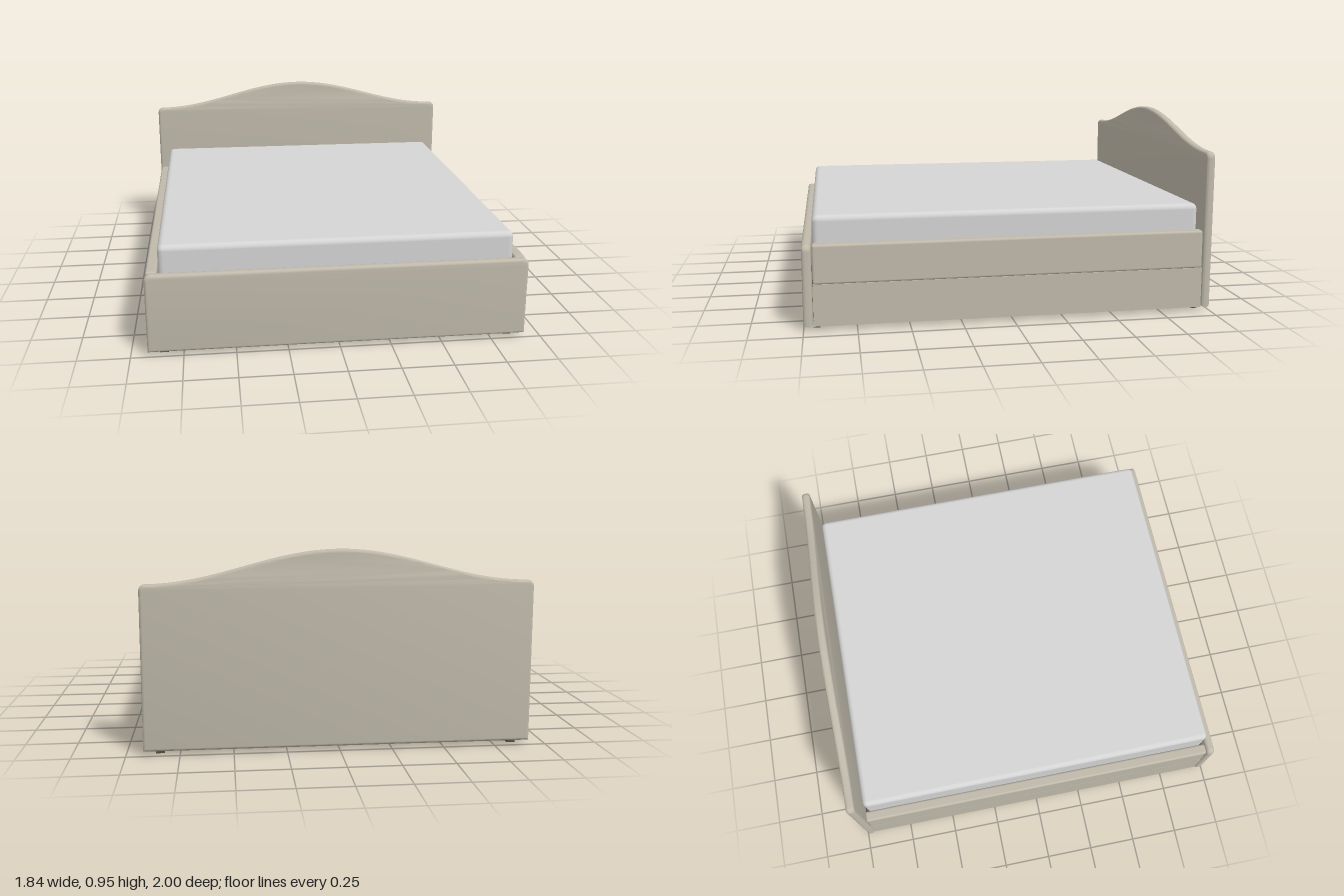
import * as THREE from 'three';
import { RoundedBoxGeometry } from 'three/addons/geometries/RoundedBoxGeometry.js';
import { toCreasedNormals } from 'three/addons/utils/BufferGeometryUtils.js';

const material = (name, color) => Object.assign(new THREE.MeshStandardMaterial({ color }), { name });

export function createModel() {
  const fabric = material('beige upholstery', 0xbfb9aa);
  const cloth = material('mattress cloth', 0xd4d4d4);
  const wood = material('dark wood', 0x564c3c);

  const bed = new THREE.Group();
  bed.name = 'bed';

  function add(name, geometry, mat, x = 0, y = 0, z = 0) {
    const mesh = new THREE.Mesh(geometry, mat);
    mesh.name = name;
    mesh.position.set(x, y, z);
    bed.add(mesh);
    return mesh;
  }

  // Padded upright panel with a raised cosine crest and soft edges
  function panel(sideTop, crest) {
    const hw = 0.92, bottom = 0.02, r = 0.03, thick = 0.044, bevel = 0.015;
    const steps = crest ? 48 : 1;
    const shape = new THREE.Shape();
    shape.moveTo(-hw, bottom);
    shape.lineTo(hw, bottom);
    shape.lineTo(hw, sideTop - r);
    shape.absarc(hw - r, sideTop - r, r, 0, Math.PI / 2, false);
    for (let i = 1; i <= steps; i++) {
      const x = (hw - r) * (1 - (2 * i) / steps);
      shape.lineTo(x, sideTop + crest * 0.5 * (1 + Math.cos((Math.PI * x) / (hw - r))));
    }
    shape.absarc(-hw + r, sideTop - r, r, Math.PI / 2, Math.PI, false);
    const geometry = new THREE.ExtrudeGeometry(shape, {
      depth: thick - 2 * bevel, bevelEnabled: true, bevelThickness: bevel,
      bevelSize: bevel, bevelOffset: -bevel, bevelSegments: 4, curveSegments: 6,
    });
    geometry.translate(0, 0, bevel);
    return toCreasedNormals(geometry, 0.6);
  }

  add('headboard', panel(0.80, 0.153), fabric, 0, 0, -1);
  add('footboard', panel(0.41, 0), fabric, 0, 0, 0.956);

  // Mattress
  add('mattress', new RoundedBoxGeometry(1.71, 0.2, 1.896, 4, 0.028), cloth, 0, 0.435, 0.002);

  // Padded side rails with thin skirts below, and corner legs
  for (const side of [-1, 1]) {
    add('sideRail', new RoundedBoxGeometry(0.055, 0.19, 1.906, 4, 0.012), fabric, side * 0.8875, 0.315, 0);
    add('sideSkirt', new THREE.BoxGeometry(0.015, 0.202, 1.906), fabric, side * 0.9065, 0.121, 0);
    for (const end of [-1, 1]) {
      add('leg', new THREE.BoxGeometry(0.04, 0.335, 0.032), wood, side * 0.843, 0.1675, end * 0.939);
    }
  }

  // Cross slats under the mattress
  for (let i = -2; i <= 2; i++) {
    add('slat', new THREE.BoxGeometry(1.722, 0.026, 0.065), wood, 0, 0.322, i * 0.384);
  }

  return bed;
}
